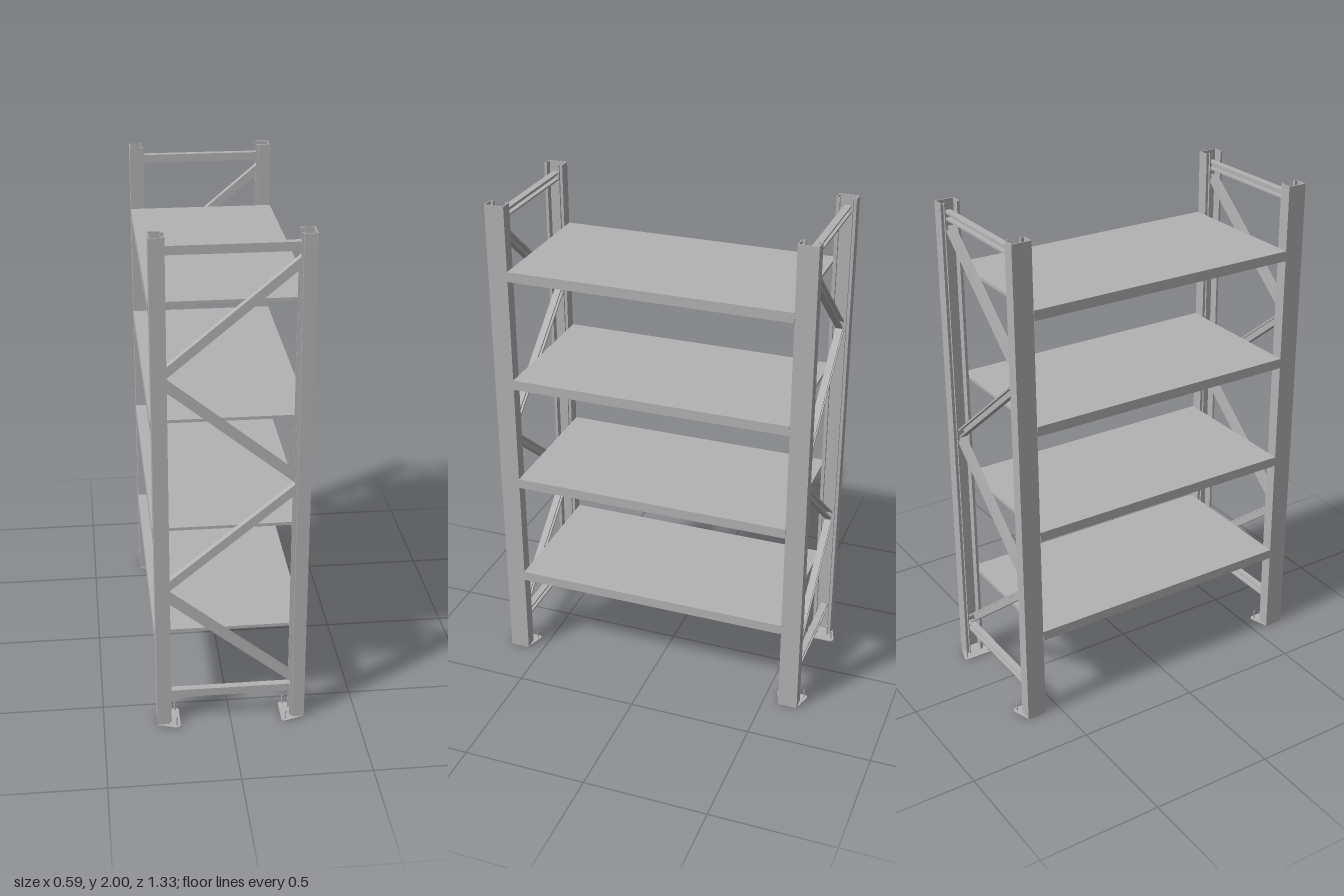
import * as THREE from 'three';

const steel = new THREE.MeshStandardMaterial({ color: 0xb3b3b3 });
steel.name = 'grey steel';

const HEIGHT = 2, POST_X = 0.291, FRAME_Z = 0.603;

// Mirror half a profile about its long axis and close it into a shape
function mirroredShape(half, sx = 1, offset = 0) {
  const all = [...half, ...half.slice().reverse().map(([u, v]) => [u, -v])];
  return new THREE.Shape(all.map(([u, v]) => new THREE.Vector2(sx * (offset + u), v)));
}

function extrude(shape, depth) {
  return new THREE.ExtrudeGeometry(shape, { depth, bevelEnabled: false });
}

function add(parent, geometry, name, x = 0, y = 0, z = 0) {
  const mesh = new THREE.Mesh(geometry, steel);
  mesh.name = name;
  mesh.position.set(x, y, z);
  parent.add(mesh);
  return mesh;
}

// Stepped channel, open towards the middle of the frame
const postHalf = [[0, 0.0395], [-0.049, 0.0395], [-0.049, 0.028], [-0.057, 0.028],
  [-0.057, 0.024], [-0.045, 0.024], [-0.045, 0.0355], [-0.004, 0.0355]];
// Lipped channel, open towards the back
const braceHalf = [[-0.014, 0.0165], [0.014, 0.0165], [0.014, 0.009],
  [0.011, 0.009], [0.011, 0.0135], [-0.011, 0.0135]];
// Foot plate, wider towards the middle of the frame
const footHalf = [[0, 0.039], [-0.074, 0.063], [-0.086, 0.061], [-0.091, 0.053]];

function addBrace(parent, name, x1, y1, x2, y2) {
  const length = Math.hypot(x2 - x1, y2 - y1);
  const g = extrude(mirroredShape(braceHalf), length);
  g.translate(0, 0, -length / 2);
  g.rotateY(Math.PI / 2);
  const mesh = add(parent, g, name, (x1 + x2) / 2, (y1 + y2) / 2, 0);
  mesh.rotation.z = Math.atan2(y2 - y1, x2 - x1);
}

function makeFrame(name) {
  const frame = new THREE.Group();
  frame.name = name;
  for (const side of [-1, 1]) {
    const label = side > 0 ? 'left' : 'right';
    const post = extrude(mirroredShape(postHalf, side, POST_X), HEIGHT - 0.004);
    post.rotateX(-Math.PI / 2);
    add(frame, post, label + 'Post', 0, 0.004, 0);

    const foot = extrude(mirroredShape(footHalf, side, POST_X), 0.004);
    foot.rotateX(-Math.PI / 2);
    add(frame, foot, label + 'FootPlate');

    // Anchor bolts
    for (const z of [-0.05, 0.05]) {
      add(frame, new THREE.CylinderGeometry(0.0028, 0.0028, 0.038, 8), label + 'AnchorBolt',
        side * 0.216, 0.023, z);
    }
  }
  // Horizontal and zigzag braces
  for (const y of [0.127, 1.947]) addBrace(frame, 'horizontalBrace', -0.272, y, 0.272, y);
  const zigzag = [[0.565, 0.175], [0.615, 1.01], [1.445, 1.055], [1.49, 1.89]];
  for (const [yRight, yLeft] of zigzag) {
    const extra = (yLeft - yRight) * 0.025;
    addBrace(frame, 'diagonalBrace', -0.252, yRight - extra, 0.252, yLeft + extra);
  }
  return frame;
}

// Deck with a folded edge beam along each long side
function makeShelf(top) {
  const shelf = new THREE.Group();
  shelf.name = 'shelf';
  shelf.position.y = top;
  const length = 1.126;
  add(shelf, new THREE.BoxGeometry(0.576, 0.012, length), 'deck', 0, -0.006, 0);
  for (const side of [-1, 1]) {
    add(shelf, new THREE.BoxGeometry(0.005, 0.04, length), 'edgeBeam', side * 0.2905, -0.02, 0);
  }
  return shelf;
}

export function createModel() {
  const rack = new THREE.Group();
  rack.name = 'storageRack';
  for (const [name, z] of [['frontFrame', FRAME_Z], ['backFrame', -FRAME_Z]]) {
    const frame = makeFrame(name);
    frame.position.z = z;
    rack.add(frame);
  }
  for (const top of [0.392, 0.842, 1.288, 1.743]) rack.add(makeShelf(top));
  return rack;
}
